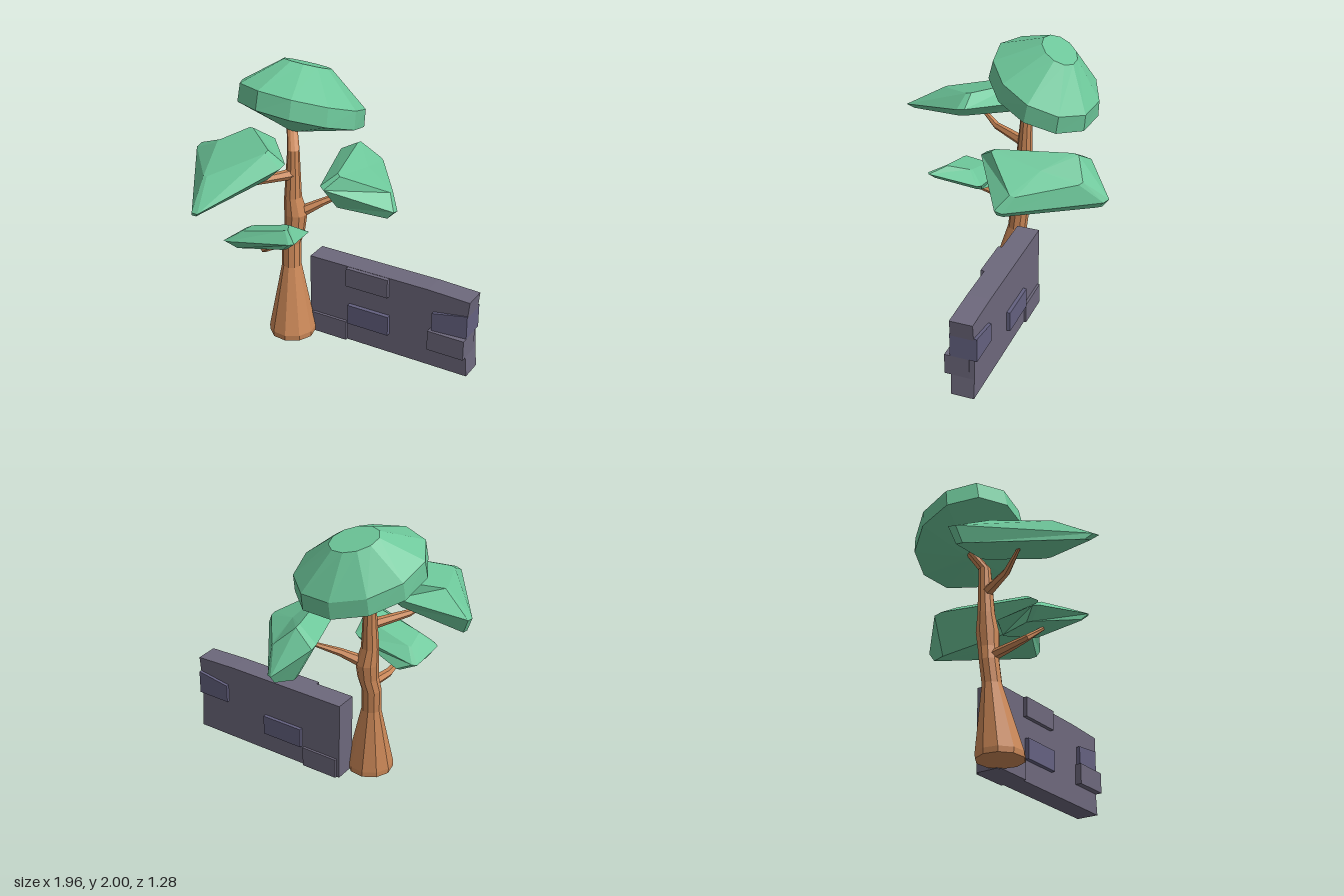
import * as THREE from 'three';

const V = (x, y, z) => new THREE.Vector3(x, y, z);
const mat = (color) => new THREE.MeshStandardMaterial({ color, flatShading: true });

// Skin a stack of equal-length rings (counter-clockwise around the stacking direction) and cap both ends
function loft(name, rings, material) {
  const pos = [];
  const tri = (...pts) => pts.forEach((p) => pos.push(p.x, p.y, p.z));
  const n = rings[0].length;
  const centre = (ring) => ring.reduce((s, p) => s.add(p), V(0, 0, 0)).divideScalar(n);
  const last = rings[rings.length - 1];
  const c0 = centre(rings[0]), c1 = centre(last);
  for (let j = 0; j < n; j++) {
    const k = (j + 1) % n;
    for (let i = 0; i < rings.length - 1; i++) {
      const a = rings[i][j], b = rings[i][k], c = rings[i + 1][j], d = rings[i + 1][k];
      tri(a, b, d);
      tri(a, d, c);
    }
    tri(c0, rings[0][k], rings[0][j]);
    tri(c1, last[j], last[k]);
  }
  const geo = new THREE.BufferGeometry();
  geo.setAttribute('position', new THREE.Float32BufferAttribute(pos, 3));
  geo.computeVertexNormals();
  const mesh = new THREE.Mesh(geo, material);
  mesh.name = name;
  return mesh;
}

// Ring of n points spanned by the axes u and v
function ring(c, u, v, n) {
  return Array.from({ length: n }, (_, i) => {
    const a = (i / n) * Math.PI * 2;
    return c.clone().addScaledVector(u, Math.cos(a)).addScaledVector(v, Math.sin(a));
  });
}

// Tapering branch along a few points
function branch(name, pts, r0, r1, material) {
  const rings = pts.map((p, i) => {
    const d = pts[Math.min(i + 1, pts.length - 1)].clone().sub(pts[Math.max(i - 1, 0)]).normalize();
    const u = V(0, 1, 0).cross(d).normalize();
    const v = d.clone().cross(u);
    const r = THREE.MathUtils.lerp(r0, r1, i / (pts.length - 1));
    return ring(p, u.multiplyScalar(r), v.multiplyScalar(r), 6);
  });
  return loft(name, rings, material);
}

// Four corners turned into eight by cutting each corner off
function chamfer(quad, t) {
  return quad.flatMap((p, i) => [
    p.clone().lerp(quad[(i + 3) % 4], t), p.clone().lerp(quad[(i + 1) % 4], t),
  ]);
}

// Pillow of leaves: underside, rim and top, four corners each, counter-clockwise from above
function foliage(name, under, rim, top, material) {
  return loft(name, [under, rim, top].map((quad) => chamfer(quad, 0.06)), material);
}

export function createModel() {
  const model = new THREE.Group();
  model.name = 'treeAndWall';
  const bark = mat(0xca8757), leaf = mat(0x6dc79a);
  const stone = mat(0x6d687c), blueStone = mat(0x646180);

  // Trunk: x, y, z, radius
  const trunk = [
    [-0.318, 0.01, -0.04, 0.165], [-0.318, 0.05, -0.04, 0.167], [-0.32, 0.53, -0.095, 0.07],
    [-0.32, 0.7, -0.115, 0.07], [-0.295, 0.8, -0.122, 0.074], [-0.287, 0.92, -0.13, 0.082],
    [-0.305, 1.05, -0.138, 0.062], [-0.298, 1.4, -0.152, 0.043], [-0.31, 1.54, -0.26, 0.037],
  ].map(([x, y, z, r]) => ring(V(x, y, z), V(r, 0, 0), V(0, 0, -r), 10));
  model.add(loft('trunk', trunk, bark));

  // Branches
  model.add(
    branch('upperBranch', [V(-0.3, 1.22, -0.14), V(-0.56, 1.235, 0.02), V(-0.74, 1.32, 0.12)], 0.04, 0.012, bark),
    branch('rightBranch', [V(-0.27, 0.92, -0.13), V(-0.1, 1.0, -0.14), V(0.13, 1.09, -0.17)], 0.045, 0.012, bark),
    branch('lowerBranch', [V(-0.31, 0.74, -0.11), V(-0.43, 0.75, 0.03), V(-0.5, 0.78, 0.15), V(-0.44, 0.87, 0.25)], 0.04, 0.014, bark),
  );

  // Crown: x, y, z, x radius, z radius, slope in z; the rings lean down towards the back right
  const crown = [
    [-0.3, 1.505, -0.26, 0.05, 0.05, 0.1], [-0.25, 1.625, -0.265, 0.44, 0.38, 0.23],
    [-0.235, 1.75, -0.28, 0.435, 0.365, 0.26], [-0.2, 1.95, -0.36, 0.165, 0.12, 0.28],
  ].map(([x, y, z, rx, rz, s]) => ring(V(x, y, z), V(rx, -0.24 * rx, 0), V(0, -s * rz, -rz), 11));
  model.add(loft('crown', crown, leaf));

  // Lower leaf masses
  model.add(
    foliage('leftFoliage',
      [V(-0.93, 1.25, 0.6), V(-0.42, 1.4, 0.29), V(-0.48, 1.38, -0.15), V(-0.95, 1.25, -0.28)],
      [V(-0.92, 1.29, 0.66), V(-0.33, 1.49, 0.31), V(-0.43, 1.47, -0.21), V(-0.98, 1.37, -0.33)],
      [V(-0.87, 1.43, 0.37), V(-0.44, 1.56, 0.24), V(-0.58, 1.56, -0.18), V(-0.81, 1.49, -0.1)],
      leaf),
    foliage('rightFoliage',
      [V(-0.02, 1.1, 0.13), V(0.37, 1.02, 0.16), V(0.31, 1.0, -0.58), V(0.17, 0.975, -0.49)],
      [V(-0.12, 1.27, 0.2), V(0.42, 1.07, 0.18), V(0.34, 1.05, -0.62), V(0.04, 1.25, -0.54)],
      [V(0, 1.345, 0.15), V(0.39, 1.17, 0.07), V(0.33, 1.2, -0.43), V(0.16, 1.345, -0.43)],
      leaf),
    foliage('lowerFoliage',
      [V(-0.5, 0.8, -0.02), V(-0.7, 0.8, 0.17), V(-0.33, 0.98, 0.52), V(-0.25, 0.89, 0.19)],
      [V(-0.62, 0.85, -0.05), V(-0.78, 0.88, 0.22), V(-0.28, 1.04, 0.57), V(-0.18, 0.95, 0.2)],
      [V(-0.58, 0.93, 0.08), V(-0.64, 0.97, 0.24), V(-0.32, 1.07, 0.42), V(-0.32, 1.02, 0.24)],
      leaf),
  );

  // Wall body, slightly pinched at its right end
  const wall = new THREE.Group();
  wall.name = 'wall';
  wall.rotation.y = -Math.PI / 6;
  const body = new THREE.BoxGeometry(1.25, 0.6, 0.165, 4, 4, 1);
  const p = body.attributes.position;
  for (let i = 0; i < p.count; i++) {
    const x = p.getX(i), y = p.getY(i);
    if (x > 0.5) p.setX(i, x - 0.02 * Math.cos(y * 5));
    if (y > 0.29 && x > 0.5) p.setY(i, y - 0.012);
  }
  body.translate(0.428, 0.305, -0.052);
  body.computeVertexNormals();
  const bodyMesh = new THREE.Mesh(body, stone);
  bodyMesh.name = 'wallBody';
  wall.add(bodyMesh);

  // Raised bricks: start, end, bottom, top, back, front, rise at the right, recess at the right, material
  const bricks = [
    [0.11, 0.44, 0.46, 0.603, -0.1, 0.06, 0, 0, stone],
    [0.125, 0.449, 0.158, 0.308, -0.16, 0.062, 0, 0, blueStone],
    [-0.175, 0.108, 0.005, 0.157, -0.152, 0.05, 0, 0, stone],
    [0.785, 1.04, 0.308, 0.465, -0.157, 0.058, 0.02, 0.022, blueStone],
    [0.765, 1.04, 0.158, 0.308, -0.1, 0.077, 0, 0, stone],
  ];
  bricks.forEach(([x0, x1, y0, y1, z0, z1, rise, recess, m], i) => {
    const geo = new THREE.BoxGeometry(x1 - x0, y1 - y0, z1 - z0);
    const q = geo.attributes.position;
    for (let k = 0; k < q.count; k++) {
      const side = Math.sign(q.getX(k));
      if (q.getY(k) > 0) q.setY(k, q.getY(k) + rise * side);
      if (side > 0 && q.getZ(k) > 0) q.setZ(k, q.getZ(k) - recess);
    }
    geo.computeVertexNormals();
    const mesh = new THREE.Mesh(geo, m);
    mesh.name = `brick${i + 1}`;
    mesh.position.set((x0 + x1) / 2, (y0 + y1) / 2, (z0 + z1) / 2);
    wall.add(mesh);
  });
  model.add(wall);
  return model;
}
